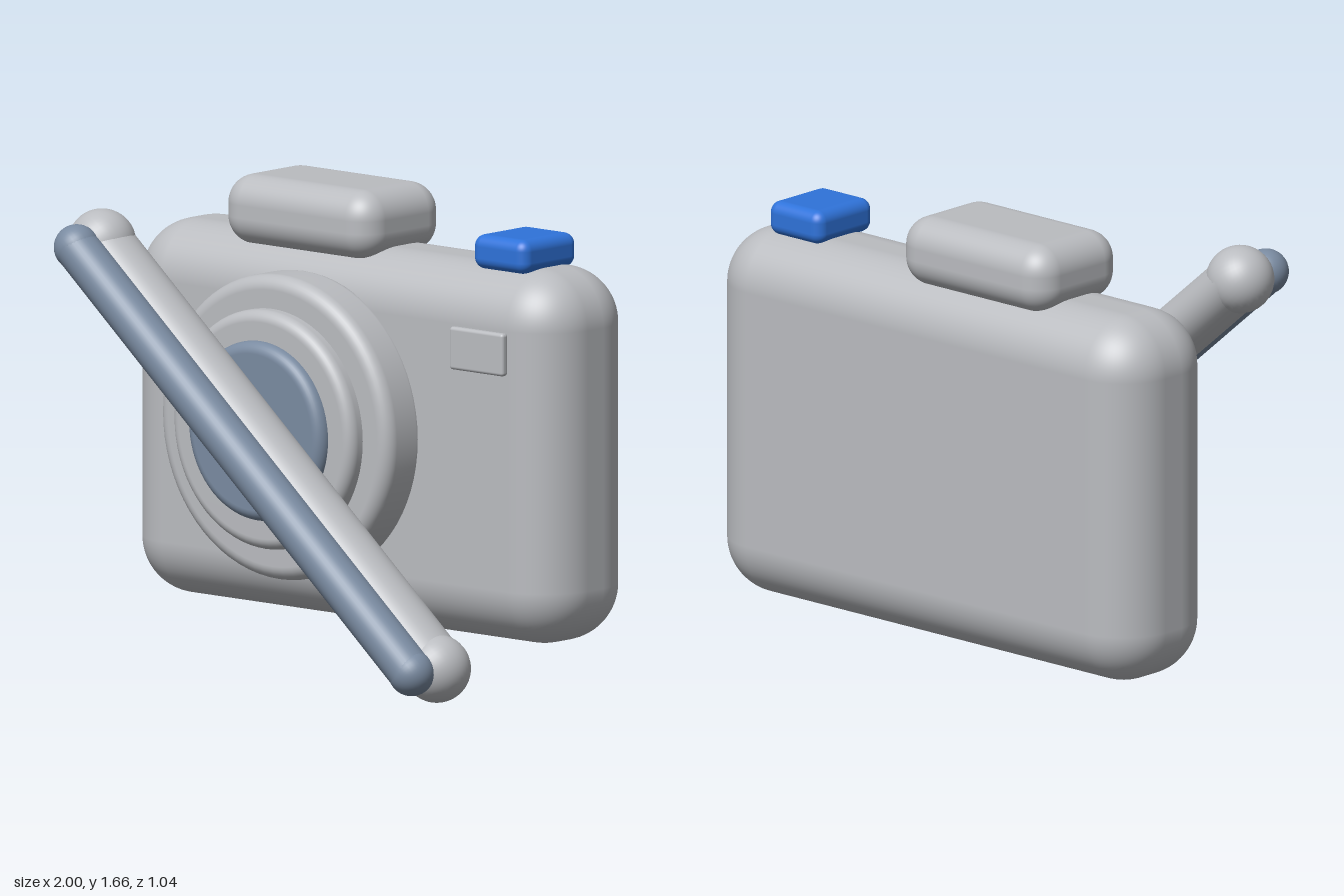
import * as THREE from 'three';
import { RoundedBoxGeometry } from 'three/addons/geometries/RoundedBoxGeometry.js';

const material = (name, color) => {
  const m = new THREE.MeshStandardMaterial({ color });
  m.name = name;
  return m;
};

export function createModel() {
  const grey = material('light grey', 0xbabcc0);
  const slate = material('slate blue', 0x7a8ba1);
  const blue = material('bright blue', 0x2f73da);
  const model = new THREE.Group();
  model.name = 'camera';

  const add = (name, geometry, mat, parent = model) => {
    const mesh = new THREE.Mesh(geometry, mat);
    mesh.name = name;
    parent.add(mesh);
    return mesh;
  };

  // Rounded box given by its [min, max] range on each axis
  const box = (name, x, y, z, radius, mat) => {
    const size = [x, y, z].map(([a, b]) => b - a);
    const mid = [x, y, z].map(([a, b]) => (a + b) / 2);
    add(name, new RoundedBoxGeometry(...size, 8, radius), mat).position.set(...mid);
  };

  // Disc facing +z with both rims rounded
  const disc = (name, radius, back, front, bevel, mat) => {
    const points = [new THREE.Vector2(0, back)];
    const arc = (cy, start) => {
      for (let i = 0; i <= 8; i++) {
        const a = start + (i / 8) * Math.PI / 2;
        points.push(new THREE.Vector2(radius - bevel + bevel * Math.cos(a), cy + bevel * Math.sin(a)));
      }
    };
    arc(back + bevel, -Math.PI / 2);
    arc(front - bevel, 0);
    points.push(new THREE.Vector2(0, front));
    const geometry = new THREE.LatheGeometry(points, 72);
    geometry.rotateX(Math.PI / 2);
    add(name, geometry, mat).position.set(-0.145, 0.835, 0);
  };

  // Body and the parts on it
  box('body', [-1, 1], [0.145, 1.46], [-0.52, -0.038], 0.2, grey);
  box('viewfinderHump', [-0.565, 0.13], [1.415, 1.66], [-0.485, -0.06], 0.1, grey);
  box('shutterButton', [0.56, 0.81], [1.445, 1.565], [-0.405, -0.12], 0.04, blue);
  box('frontWindow', [0.56, 0.81], [1.105, 1.255], [-0.038, -0.007], 0.012, grey);

  // Stepped lens
  disc('lensOuterRing', 0.535, -0.08, 0.12, 0.05, grey);
  disc('lensInnerRing', 0.42, 0.04, 0.183, 0.04, grey);
  disc('lensGlass', 0.315, 0.1, 0.224, 0.04, slate);

  // Diagonal bar: a tube with a ball at each end
  const start = new THREE.Vector2(-0.767, 1.442);
  const end = new THREE.Vector2(0.787, 0.119);
  const span = end.clone().sub(start);
  const bar = (name, radius, width, z, mat) => {
    const group = new THREE.Group();
    group.name = name;
    group.position.set((start.x + end.x) / 2, (start.y + end.y) / 2, z);
    group.rotation.z = span.angle() - Math.PI / 2;
    const tube = new THREE.CylinderGeometry(radius, radius, span.length(), 40);
    tube.scale(width / radius, 1, 1);
    add(name + 'Tube', tube, mat, group);
    for (const side of [-1, 1]) {
      add(name + 'End', new THREE.SphereGeometry(radius, 36, 24), mat, group).position.y = side * span.length() / 2;
    }
    model.add(group);
  };
  bar('diagonalBar', 0.119, 0.1, 0.309, grey);
  bar('barInlay', 0.08, 0.077, 0.44, slate);

  return model;
}
